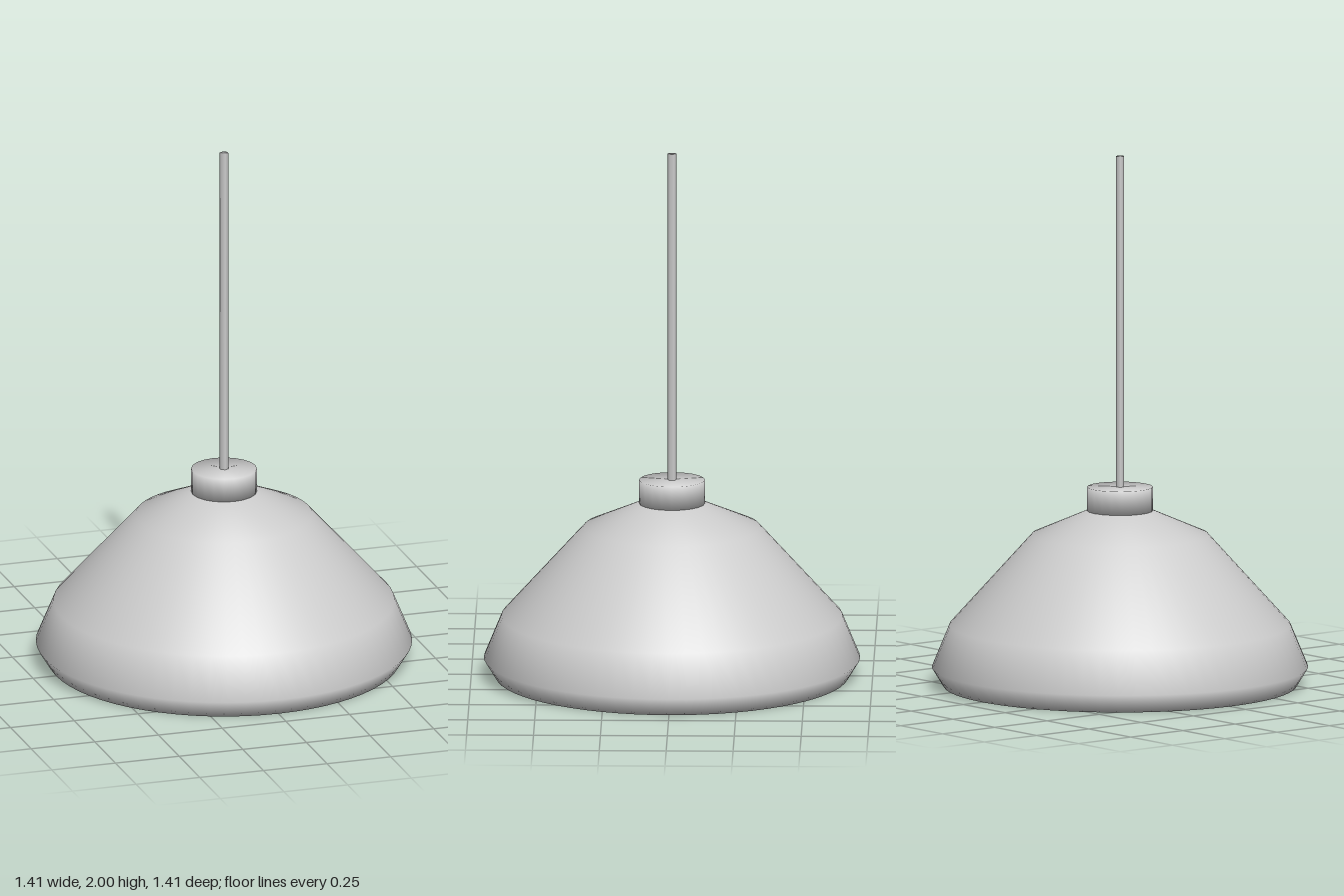
import * as THREE from 'three';

export function createModel() {
  const lamp = new THREE.Group();
  lamp.name = 'pendantLamp';
  const grey = new THREE.MeshStandardMaterial({ color: 0xcccccc });
  grey.name = 'lightGrey';

  // Turned part: profile of [radius, height] pairs, listed from bottom to top
  const turned = (name, profile, sides) => {
    const points = profile.map(([r, y]) => new THREE.Vector2(r, y));
    const mesh = new THREE.Mesh(new THREE.LatheGeometry(points, sides), grey);
    mesh.name = name;
    lamp.add(mesh);
  };

  // Closed shade with a tucked-in lower rim
  turned('shade', [
    [0, 0], [0.66, 0], [0.703, 0.07], [0.637, 0.23],
    [0.33, 0.57], [0.123, 0.66], [0, 0.66],
  ], 64);

  // Collar on top of the shade
  turned('collar', [[0, 0.655], [0.123, 0.655], [0.123, 0.75], [0, 0.75]], 20);

  // Thin six-sided hanging rod
  turned('rod', [[0, 0.74], [0.017, 0.74], [0.017, 2], [0, 2]], 6);

  return lamp;
}
